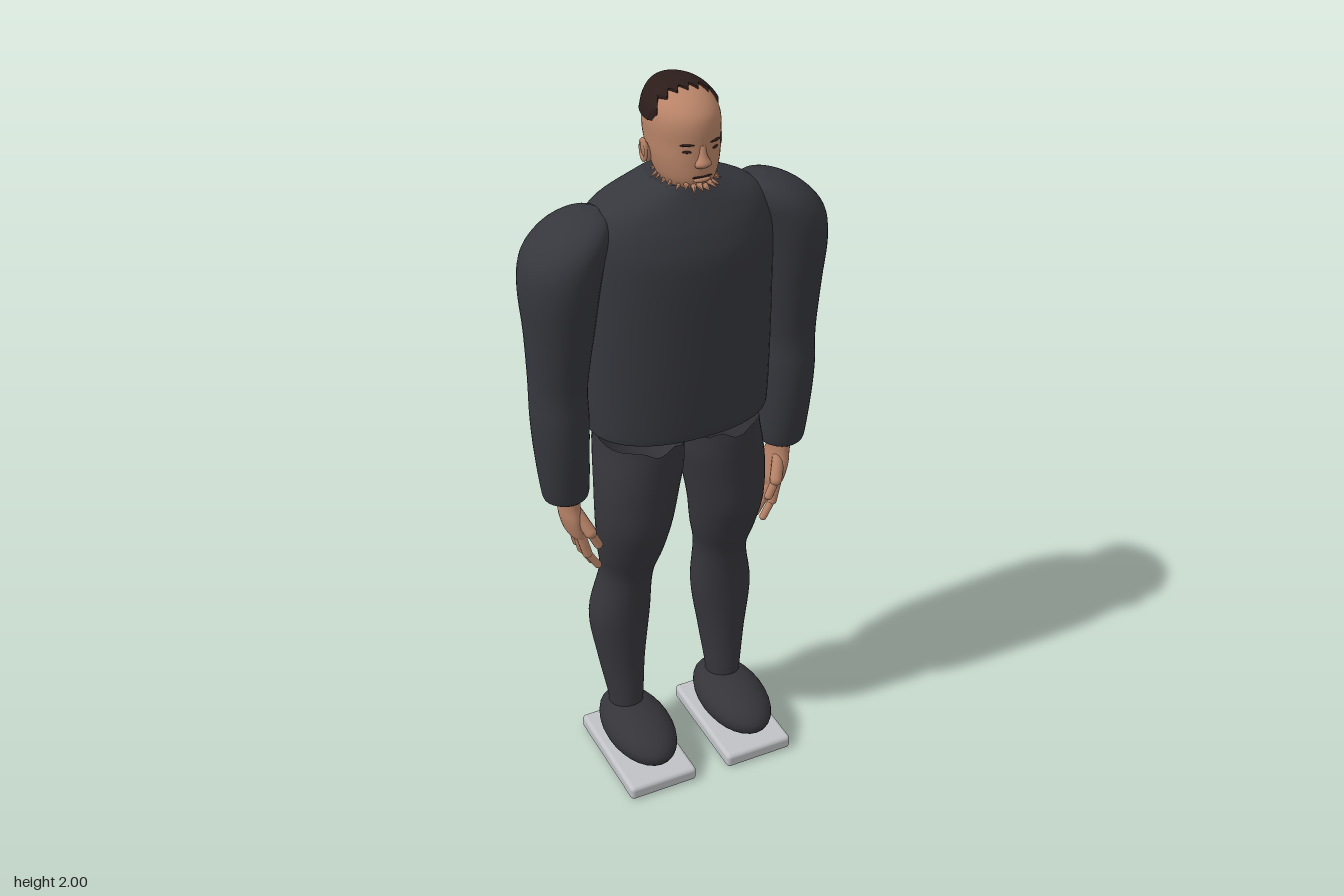
import * as THREE from 'three';
import { RoundedBoxGeometry } from 'three/addons/geometries/RoundedBoxGeometry.js';

const mat = (name, color, side = THREE.FrontSide) => {
  const m = new THREE.MeshStandardMaterial({ color, side });
  m.name = name;
  return m;
};

// Smooth body from elliptical cross-sections [y, cx, cz, rx, rz], listed bottom to top
function loft(rings, { seg = 40, sub = 5, power = 2, caps = [true, true], warp } = {}) {
  const interp = new THREE.CubicInterpolant(rings.map((_, i) => i), rings.flat(), 5);
  const pos = [], idx = [];
  const addRing = (t) => {
    const [y, cx, cz, rx, rz] = Array.from(interp.evaluate(t));
    for (let j = 0; j < seg; j++) {
      const a = (j / seg) * Math.PI * 2, c = Math.cos(a), s = Math.sin(a), e = 2 / power;
      const v = new THREE.Vector3(
        cx + rx * Math.sign(c) * Math.abs(c) ** e, y, cz + rz * Math.sign(s) * Math.abs(s) ** e);
      if (warp) warp(v);
      pos.push(v.x, v.y, v.z);
    }
    return [cx, y, cz];
  };
  const n = (rings.length - 1) * sub;
  for (let i = 0; i <= n; i++) addRing(i / sub);
  for (let i = 0; i < n; i++) {
    for (let j = 0; j < seg; j++) {
      const k = (j + 1) % seg, a = i * seg + j, b = i * seg + k;
      idx.push(a, a + seg, b, b, a + seg, b + seg);
    }
  }
  // End caps with their own vertices
  caps.forEach((on, top) => {
    if (!on) return;
    const start = pos.length / 3;
    pos.push(...addRing(top ? rings.length - 1 : 0));
    const centre = start + seg;
    for (let j = 0; j < seg; j++) {
      const a = start + j, b = start + ((j + 1) % seg);
      idx.push(centre, top ? b : a, top ? a : b);
    }
  });
  const g = new THREE.BufferGeometry();
  g.setAttribute('position', new THREE.Float32BufferAttribute(pos, 3));
  g.setIndex(idx);
  g.computeVertexNormals();
  return g;
}

export function createModel() {
  const root = new THREE.Group();
  const jacket = mat('charcoal jacket', 0x36373d);
  const trousers = mat('charcoal trousers', 0x37363c, THREE.DoubleSide);
  const shoes = mat('dark shoes', 0x343439);
  const skin = mat('skin', 0xb98468);
  const hair = mat('dark hair', 0x2c1d1b);
  const grey = mat('light grey', 0xbfc1c4);

  const add = (name, geo, material, parent = root) => {
    const m = new THREE.Mesh(geo, material);
    m.name = name;
    parent.add(m);
    return m;
  };
  const blob = (name, material, p, r, parent = root) => {
    const m = add(name, new THREE.SphereGeometry(1, 28, 18), material, parent);
    m.position.set(...p);
    m.scale.set(...r);
    return m;
  };
  const limb = (name, a, b, r, parent) => {
    const p = new THREE.Vector3(...a), d = new THREE.Vector3(...b).sub(p);
    const m = add(name, new THREE.CapsuleGeometry(r, d.length(), 5, 10), skin, parent);
    m.position.copy(p).addScaledVector(d, 0.5);
    m.quaternion.setFromUnitVectors(new THREE.Vector3(0, 1, 0), d.normalize());
  };

  // Torso
  add('torso', loft([
    [1.09, 0, -0.03, 0.238, 0.158], [1.11, 0, -0.03, 0.246, 0.165], [1.3, 0, -0.03, 0.25, 0.171],
    [1.55, 0, -0.032, 0.25, 0.172], [1.64, 0, -0.033, 0.245, 0.155], [1.7, 0, -0.03, 0.21, 0.125],
    [1.74, 0, -0.027, 0.13, 0.1], [1.762, 0, -0.025, 0.075, 0.084],
  ], { seg: 56, power: 2.25 }), jacket);

  // Limbs, mirrored
  for (const s of [1, -1]) {
    const side = s > 0 ? 'left' : 'right';
    const mx = (rings) => rings.map(([y, x, ...r]) => [y, x * s, ...r]);

    add(side + 'Sleeve', loft(mx([
      [0.905, 0.315, -0.028, 0.05, 0.05], [0.925, 0.315, -0.028, 0.062, 0.058],
      [1.05, 0.32, -0.03, 0.07, 0.076], [1.15, 0.322, -0.031, 0.074, 0.082],
      [1.22, 0.322, -0.035, 0.073, 0.083], [1.28, 0.32, -0.034, 0.076, 0.086],
      [1.4, 0.315, -0.03, 0.086, 0.1], [1.52, 0.311, -0.03, 0.098, 0.118],
      [1.6, 0.297, -0.03, 0.1, 0.12], [1.655, 0.268, -0.03, 0.085, 0.105],
      [1.69, 0.24, -0.03, 0.057, 0.07], [1.705, 0.225, -0.03, 0.02, 0.025],
    ])), jacket);

    add(side + 'TrouserLeg', loft(mx([
      [0.14, 0.152, -0.042, 0.045, 0.057], [0.18, 0.152, -0.043, 0.049, 0.059],
      [0.3, 0.155, -0.06, 0.065, 0.071], [0.45, 0.155, -0.067, 0.084, 0.083],
      [0.6, 0.141, -0.047, 0.072, 0.079], [0.7, 0.137, -0.023, 0.09, 0.092],
      [0.8, 0.134, -0.005, 0.103, 0.106], [0.9, 0.125, -0.005, 0.113, 0.113],
      [0.97, 0.115, -0.015, 0.118, 0.126], [1.02, 0.11, -0.026, 0.116, 0.138],
      [1.055, 0.107, -0.029, 0.115, 0.14],
    ]), {
      caps: [true, false],
      warp: (v) => { if (v.y > 1.05) v.y += 0.009 * Math.sin(Math.abs(v.x) * 70 + v.z * 30); },
    }), trousers);

    // Shoe on a flat base plate
    blob(side + 'Shoe', shoes, [s * 0.148, 0.102, 0.03], [0.093, 0.063, 0.166]);
    const pad = add(side + 'BasePlate', new RoundedBoxGeometry(0.2, 0.042, 0.345, 3, 0.012), grey);
    pad.position.set(s * 0.148, 0.021, 0.032);

    // Hand: wrist, palm, four fingers and thumb
    const hand = new THREE.Group();
    hand.name = side + 'Hand';
    root.add(hand);
    add('palm', loft(mx([
      [0.765, 0.283, -0.042, 0.014, 0.045], [0.79, 0.291, -0.04, 0.024, 0.057],
      [0.84, 0.302, -0.034, 0.027, 0.054], [0.88, 0.306, -0.028, 0.026, 0.043],
      [0.93, 0.31, -0.028, 0.032, 0.042],
    ]), { seg: 24 }), skin, hand);
    [[0.002, 0.008, 0.675], [-0.026, -0.035, 0.662], [-0.054, -0.07, 0.667], [-0.082, -0.098, 0.7]]
      .forEach(([z0, z1, tip]) => {
        const mid = [s * 0.274, (0.785 + tip) / 2, (z0 + z1) / 2];
        limb('fingerBase', [s * 0.289, 0.79, z0], mid, 0.0135, hand);
        limb('fingerTip', mid, [s * 0.246, tip + 0.01, z1], 0.0105, hand);
      });
    limb('thumbBase', [s * 0.295, 0.86, -0.005], [s * 0.272, 0.81, 0.025], 0.017, hand);
    limb('thumbTip', [s * 0.272, 0.81, 0.025], [s * 0.251, 0.765, 0.027], 0.012, hand);
  }

  // Head
  const head = new THREE.Group();
  head.name = 'head';
  root.add(head);
  const skull = [
    [1.775, 0, 0.02, 0.062, 0.088], [1.8, 0, 0.018, 0.073, 0.099], [1.84, 0, 0.011, 0.083, 0.108],
    [1.88, 0, 0.003, 0.087, 0.115], [1.92, 0, 0.002, 0.088, 0.115], [1.95, 0, 0, 0.081, 0.107],
    [1.975, 0, -0.008, 0.064, 0.087], [1.99, 0, -0.015, 0.04, 0.056], [1.995, 0, -0.016, 0.004, 0.006],
  ];
  add('skull', loft(skull), skin, head);

  // Cropped hair over the crown, with a toothed front edge
  add('hairCap', loft(
    skull.slice(4).map(([y, x, z, rx, rz]) => [y + 0.005, x, z, rx + 0.005, rz + 0.006]), {
      seg: 120,
      sub: 8,
      warp: (v) => {
        const tooth = Math.abs(((Math.abs(v.x) / 0.026) % 1) * 2 - 1);
        v.z = Math.min(v.z, 0.014 + 0.026 * tooth);
      },
    }), hair, head);

  // Face
  add('nose', loft([
    [1.832, 0, 0.116, 0.018, 0.012], [1.842, 0, 0.121, 0.02, 0.015],
    [1.86, 0, 0.117, 0.011, 0.011], [1.885, 0, 0.112, 0.008, 0.007],
  ], { seg: 20 }), skin, head);
  blob('mouth', hair, [0, 1.806, 0.115], [0.026, 0.003, 0.004], head);
  blob('lowerLip', skin, [0, 1.798, 0.113], [0.022, 0.007, 0.009], head);
  for (const s of [1, -1]) {
    const eye = blob('eye', hair, [s * 0.035, 1.871, 0.107], [0.012, 0.0035, 0.004], head);
    const brow = blob('brow', hair, [s * 0.036, 1.888, 0.108], [0.017, 0.0028, 0.004], head);
    eye.rotation.y = brow.rotation.y = s * 0.4;
    const ear = blob('ear', skin, [s * 0.091, 1.842, 0], [0.009, 0.031, 0.018], head);
    ear.rotation.z = -s * 0.2;
    const rim = add('earRim', new THREE.TorusGeometry(0.015, 0.0045, 8, 20), skin, head);
    rim.position.set(s * 0.097, 1.845, 0);
    rim.rotation.y = Math.PI / 2;
    rim.scale.y = 1.6;
  }

  // Ragged fringe along the jaw and neckline
  for (let i = 0; i < 26; i++) {
    const a = (i / 26) * Math.PI * 2, front = Math.max(0, Math.sin(a));
    const len = 0.026 + 0.012 * (i % 3) * 0.5;
    const tuft = add('jawTuft', new THREE.ConeGeometry(0.009, len, 5), skin, head);
    tuft.position.set(0.067 * Math.cos(a), 1.779 + 0.004 * (i % 2), 0.02 + (0.09 + 0.018 * front) * Math.sin(a));
    const dir = new THREE.Vector3(Math.cos(a), -0.9 + 0.7 * front, Math.sin(a)).normalize();
    tuft.quaternion.setFromUnitVectors(new THREE.Vector3(0, 1, 0), dir);
  }
  return root;
}
